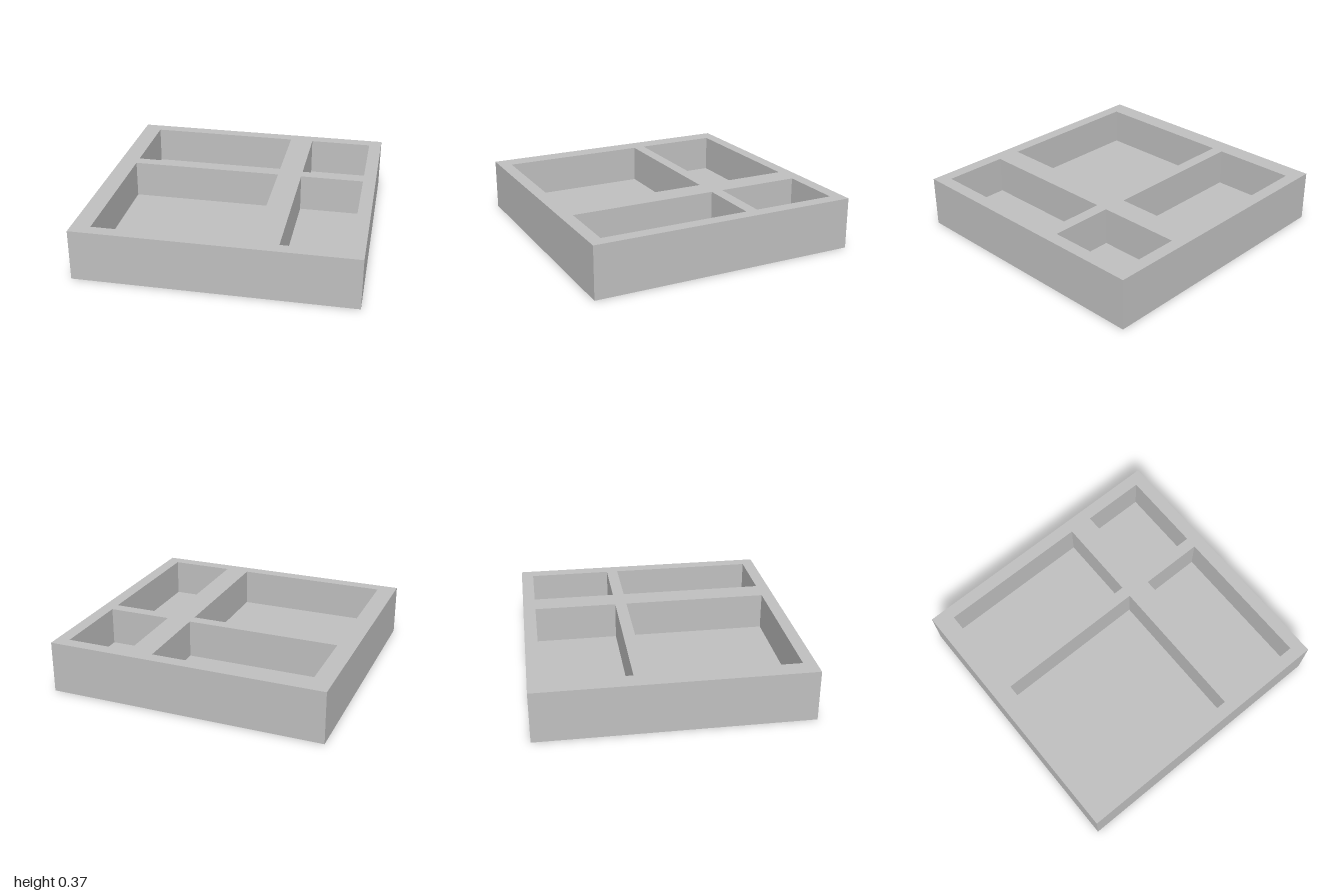
import * as THREE from 'three';

const WIDTH = 2, DEPTH = 1.954, HEIGHT = 0.374;
const FLOOR_BOTTOM = 0.044, FLOOR_TOP = 0.098;

// Compartment spans: two columns in x, two rows in z
const COLUMNS = [[-0.864, 0.26], [0.438, 0.906]];
const ROWS = [[-0.886, -0.274], [-0.188, 0.886]];

// Traces a rectangle onto a Shape or Path
function rectangle(path, x0, x1, z0, z1) {
  path.moveTo(x0, z0);
  path.lineTo(x1, z0);
  path.lineTo(x1, z1);
  path.lineTo(x0, z1);
  path.closePath();
  return path;
}

export function createModel() {
  const model = new THREE.Group();
  model.name = 'compartmentTray';
  const grey = new THREE.MeshStandardMaterial({ color: 0xc0c0c0 });
  grey.name = 'grey';

  // Outer block, pierced by the four compartments
  const outline = rectangle(new THREE.Shape(), -WIDTH / 2, WIDTH / 2, -DEPTH / 2, DEPTH / 2);

  // Compartment floors, raised above the underside to leave shallow recesses
  const thickness = FLOOR_TOP - FLOOR_BOTTOM;
  for (const [x0, x1] of COLUMNS) {
    for (const [z0, z1] of ROWS) {
      outline.holes.push(rectangle(new THREE.Path(), x0, x1, z0, z1));
      const floor = new THREE.Mesh(new THREE.BoxGeometry(x1 - x0, thickness, z1 - z0), grey);
      floor.name = 'compartmentFloor';
      floor.position.set((x0 + x1) / 2, FLOOR_BOTTOM + thickness / 2, (z0 + z1) / 2);
      model.add(floor);
    }
  }

  // Walls and dividers in one piece, laid flat with the shape's y along z
  const geometry = new THREE.ExtrudeGeometry(outline, { depth: HEIGHT, bevelEnabled: false });
  geometry.rotateX(Math.PI / 2).translate(0, HEIGHT, 0);
  const frame = new THREE.Mesh(geometry, grey);
  frame.name = 'trayFrame';
  model.add(frame);

  return model;
}
